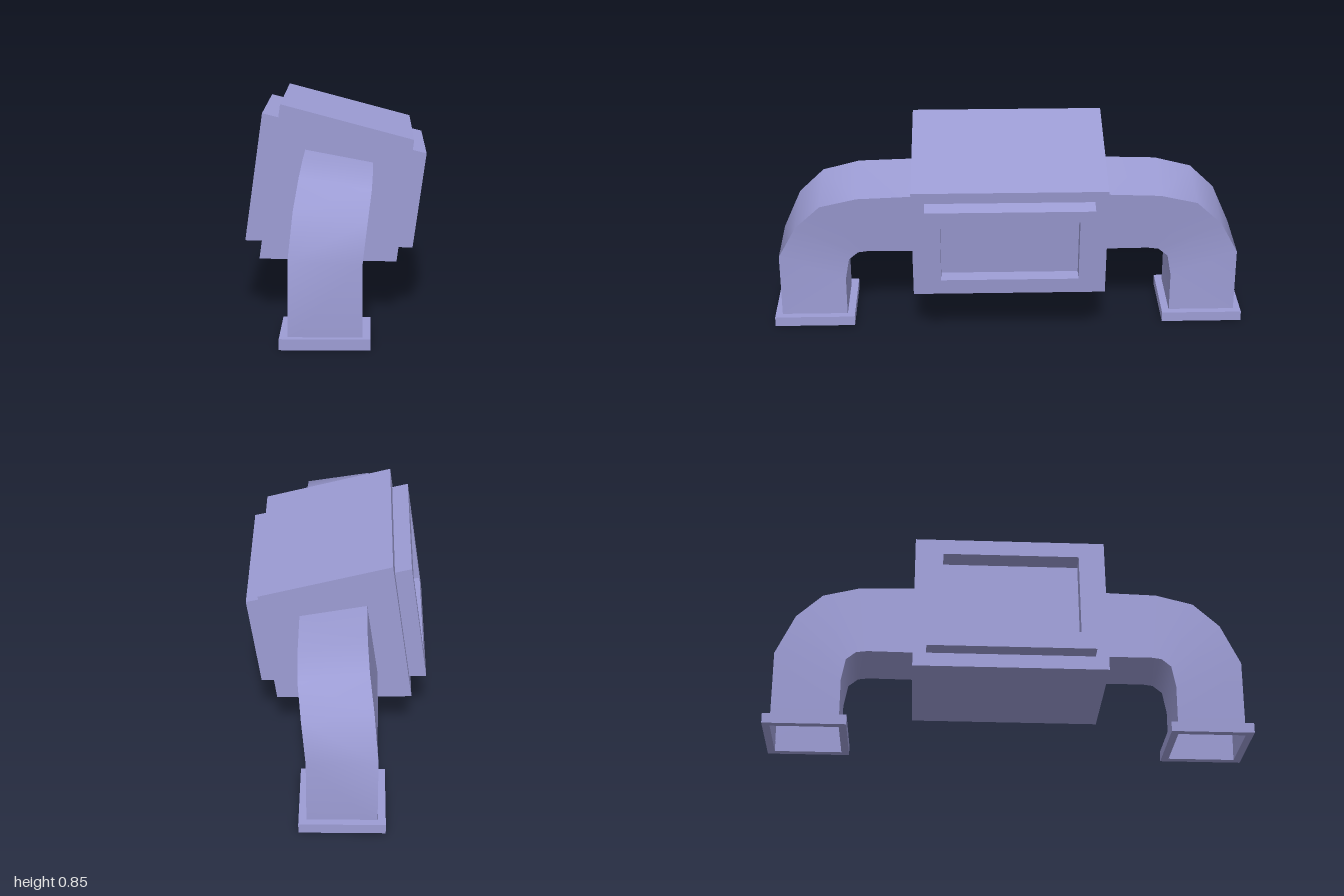
import * as THREE from 'three';

const material = new THREE.MeshStandardMaterial({ color: 0x9c9cd4, side: THREE.DoubleSide });

function addMesh(parent, name, geometry) {
  const mesh = new THREE.Mesh(geometry, material);
  mesh.name = name;
  parent.add(mesh);
  return mesh;
}

function polygon(points) {
  return new THREE.Shape(points.map(([x, y]) => new THREE.Vector2(x, y)));
}

function rectangle(x0, y0, x1, y1) {
  return polygon([[x0, y0], [x1, y0], [x1, y1], [x0, y1]]);
}

// Rectangular plate with a rectangular opening
function ringGeometry(outer, inner, depth) {
  const shape = rectangle(...outer);
  shape.holes.push(rectangle(...inner));
  return new THREE.ExtrudeGeometry(shape, { depth, bevelEnabled: false });
}

// Leaning frame: a flat ring whose height and depth are blended between four corners
function frameGeometry(side, innerBottom, innerTop, outerBottom, outerTop) {
  const geometry = ringGeometry([-0.345, 0, 0.345, 1], [-0.283, 0.15, 0.283, 0.865], 1);
  const p = geometry.attributes.position;
  for (let i = 0; i < p.count; i++) {
    const v = p.getY(i), w = p.getZ(i);
    const blend = k => THREE.MathUtils.lerp(
      THREE.MathUtils.lerp(innerBottom[k], innerTop[k], v),
      THREE.MathUtils.lerp(outerBottom[k], outerTop[k], v), w);
    p.setXYZ(i, blend(0), blend(1), -side * p.getX(i));
  }
  geometry.computeVertexNormals();
  return geometry;
}

// Duct sections from the body to the foot:
// outer z, left x, left y, right x, right y, then inner z and y
const sections = [
  [0.39, -0.12, 0.663, 0.15, 0.612, 0.39, 0.34],
  [0.63, -0.122, 0.655, 0.15, 0.603, 0.59, 0.342],
  [0.785, -0.13, 0.612, 0.146, 0.566, 0.635, 0.336],
  [0.892, -0.148, 0.503, 0.131, 0.463, 0.675, 0.303],
  [0.97, -0.165, 0.325, 0.112, 0.318, 0.692, 0.21],
  [0.97, -0.165, 0.02, 0.112, 0.02, 0.692, 0.02],
];

// Open four-sided duct, smooth along its bend and sharp at its corners
function ductGeometry(s) {
  const positions = [], index = [];
  const loops = sections.map(([z, xl, yl, xr, yr, zi, yi]) => [
    [xl, yl, s * z], [xr, yr, s * z], [0.112, yi, s * zi], [-0.165, yi, s * zi],
  ]);
  for (let k = 0; k < 4; k++) {
    const start = positions.length / 3;
    for (const loop of loops) positions.push(...loop[k], ...loop[(k + 1) % 4]);
    for (let i = 0; i < loops.length - 1; i++) {
      const a = start + i * 2, b = a + 1, c = a + 2, d = a + 3;
      index.push(...(s > 0 ? [a, c, b, c, d, b] : [a, b, c, c, b, d]));
    }
  }
  const geometry = new THREE.BufferGeometry();
  geometry.setAttribute('position', new THREE.Float32BufferAttribute(positions, 3));
  geometry.setIndex(index);
  geometry.computeVertexNormals();
  return geometry;
}

export function createModel() {
  const model = new THREE.Group();
  model.name = 'ductUnit';

  // Tilted main housing
  const housing = new THREE.ExtrudeGeometry(
    polygon([[-0.307, 0.217], [0.247, 0.207], [0.315, 0.703], [-0.22, 0.845]]),
    { depth: 0.8, bevelEnabled: false });
  housing.translate(0, 0, -0.4);
  addMesh(model, 'housing', housing);

  // Raised frames on both sides
  addMesh(model, 'leftFrame', frameGeometry(1,
    [0.253, 0.255], [0.308, 0.655], [0.313, 0.253], [0.367, 0.641]));
  addMesh(model, 'rightFrame', frameGeometry(-1,
    [-0.298, 0.279], [-0.229, 0.785], [-0.368, 0.281], [-0.296, 0.802]));

  // Bent hollow ducts with open foot flanges
  for (const [name, s] of [['front', 1], ['back', -1]]) {
    const leg = new THREE.Group();
    leg.name = name + 'Leg';
    addMesh(leg, name + 'Duct', ductGeometry(s));
    const flange = ringGeometry([-0.17, -0.17, 0.17, 0.17], [-0.139, -0.139, 0.139, 0.139], 0.042);
    flange.rotateX(-Math.PI / 2);
    flange.translate(-0.027, 0, s * 0.83);
    addMesh(leg, name + 'Flange', flange);
    model.add(leg);
  }
  return model;
}
